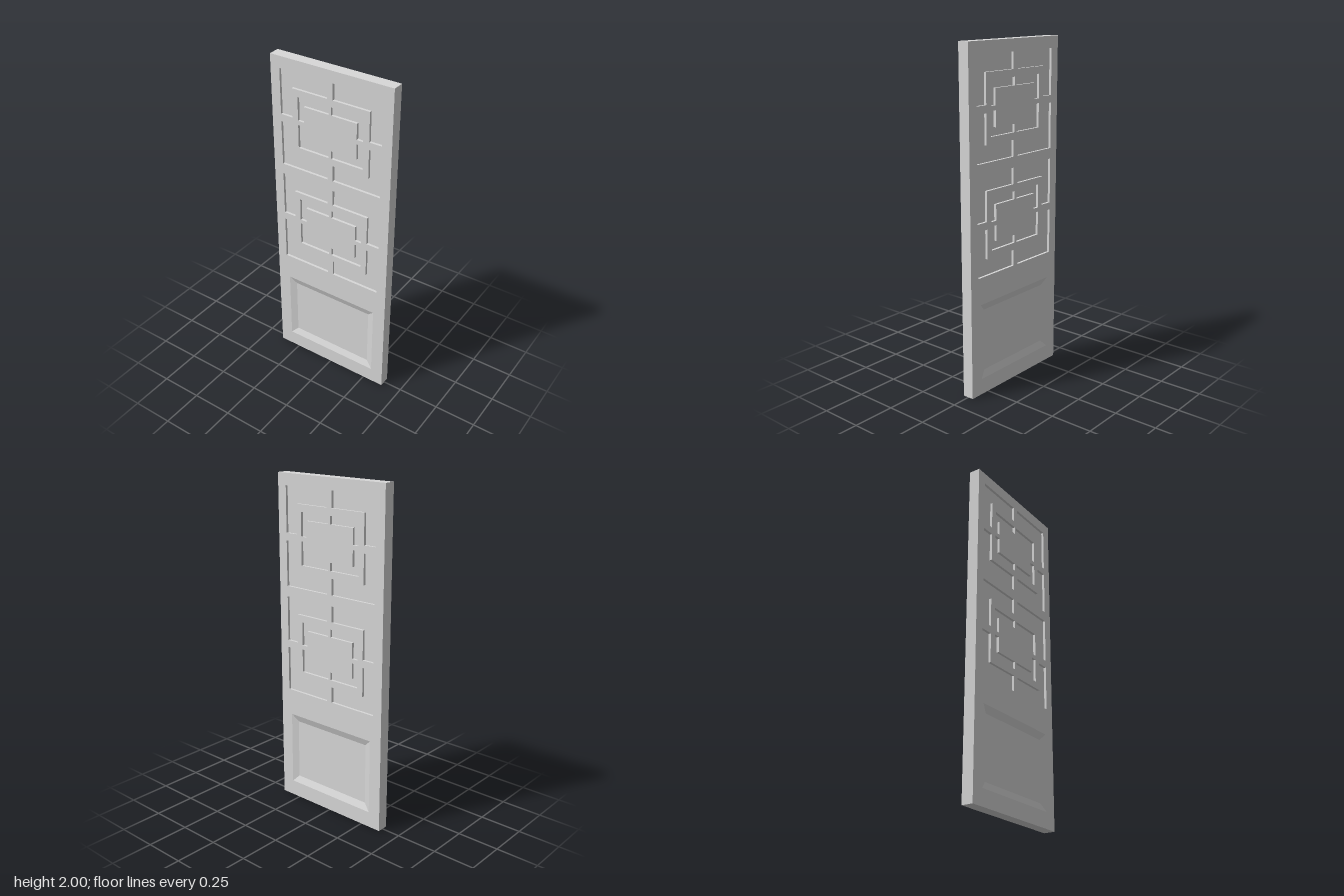
import * as THREE from 'three';

const W = 0.383, H = 2, T = 0.034;   // half width, height, half thickness
const D = 0.015;                     // recess depth on each face
const PANEL = { x: 0.305, y0: 0.095, y1: 0.548, bevel: 0.042 };

const rect = (x0, y0, x1, y1) => [[x0, y0], [x1, y0], [x1, y1], [x0, y1]];
const toPath = (pts, Type) => new Type(pts.map(([x, y]) => new THREE.Vector2(x, y)));

// L-shaped corner groove, mirrored into quadrant (sx, sy) around height cy
function cornerL(g, sx, sy, cy) {
  return [
    [g.x0, g.y2], [g.x2, g.y2], [g.x2, g.y0],
    [g.x1, g.y0], [g.x1, g.y1], [g.x0, g.y1],
  ].map(([x, y]) => [sx * x, cy + sy * y]);
}

const GROOVES = [
  { x0: 0.018, x1: 0.246, x2: 0.324, y0: 0.022, y1: 0.195, y2: 0.29 },   // outer
  { x0: 0.008, x1: 0.169, x2: 0.209, y0: 0.013, y1: 0.106, y2: 0.153 },  // inner
];

// Face layer pierced by the grooves and the lower panel opening
function faceGeometry() {
  const shape = toPath(rect(-W, 0, W, H), THREE.Shape);
  for (const cy of [1.641, 0.998])
    for (const g of GROOVES)
      for (const sx of [-1, 1])
        for (const sy of [-1, 1])
          shape.holes.push(toPath(cornerL(g, sx, sy, cy), THREE.Path));
  shape.holes.push(toPath(rect(-PANEL.x, PANEL.y0, PANEL.x, PANEL.y1), THREE.Path));
  const geo = new THREE.ExtrudeGeometry(shape, { depth: D, bevelEnabled: false });
  return geo.translate(0, 0, T - D);
}

// Sloped border running from the panel opening down to the recess floor
function bevelGeometry() {
  const { x, y0, y1, bevel: b } = PANEL;
  const outer = rect(-x, y0, x, y1).map(p => [...p, T]);
  const inner = rect(-x + b, y0 + b, x - b, y1 - b).map(p => [...p, T - D]);
  const pos = [];
  for (let i = 0; i < 4; i++) {
    const j = (i + 1) % 4;
    for (const p of [outer[i], outer[j], inner[j], outer[i], inner[j], inner[i]]) pos.push(...p);
  }
  const geo = new THREE.BufferGeometry();
  geo.setAttribute('position', new THREE.Float32BufferAttribute(pos, 3));
  geo.computeVertexNormals();
  return geo;
}

export function createModel() {
  const grey = new THREE.MeshStandardMaterial({ color: 0xd8d8d8 });
  grey.name = 'light grey';
  const model = new THREE.Group();
  model.name = 'door';

  const add = (parent, name, geo) => {
    const mesh = new THREE.Mesh(geo, grey);
    mesh.name = name;
    parent.add(mesh);
    return mesh;
  };

  // Solid core, whose faces form the recess floors
  add(model, 'core', new THREE.BoxGeometry(2 * W, H, 2 * (T - D))).position.y = H / 2;

  // Identical carved faces on front and back
  const face = faceGeometry(), bevel = bevelGeometry();
  for (const [name, angle] of [['frontFace', 0], ['backFace', Math.PI]]) {
    const side = new THREE.Group();
    side.name = name;
    add(side, 'carvedLayer', face);
    add(side, 'panelBevel', bevel);
    side.rotation.y = angle;
    model.add(side);
  }
  return model;
}
